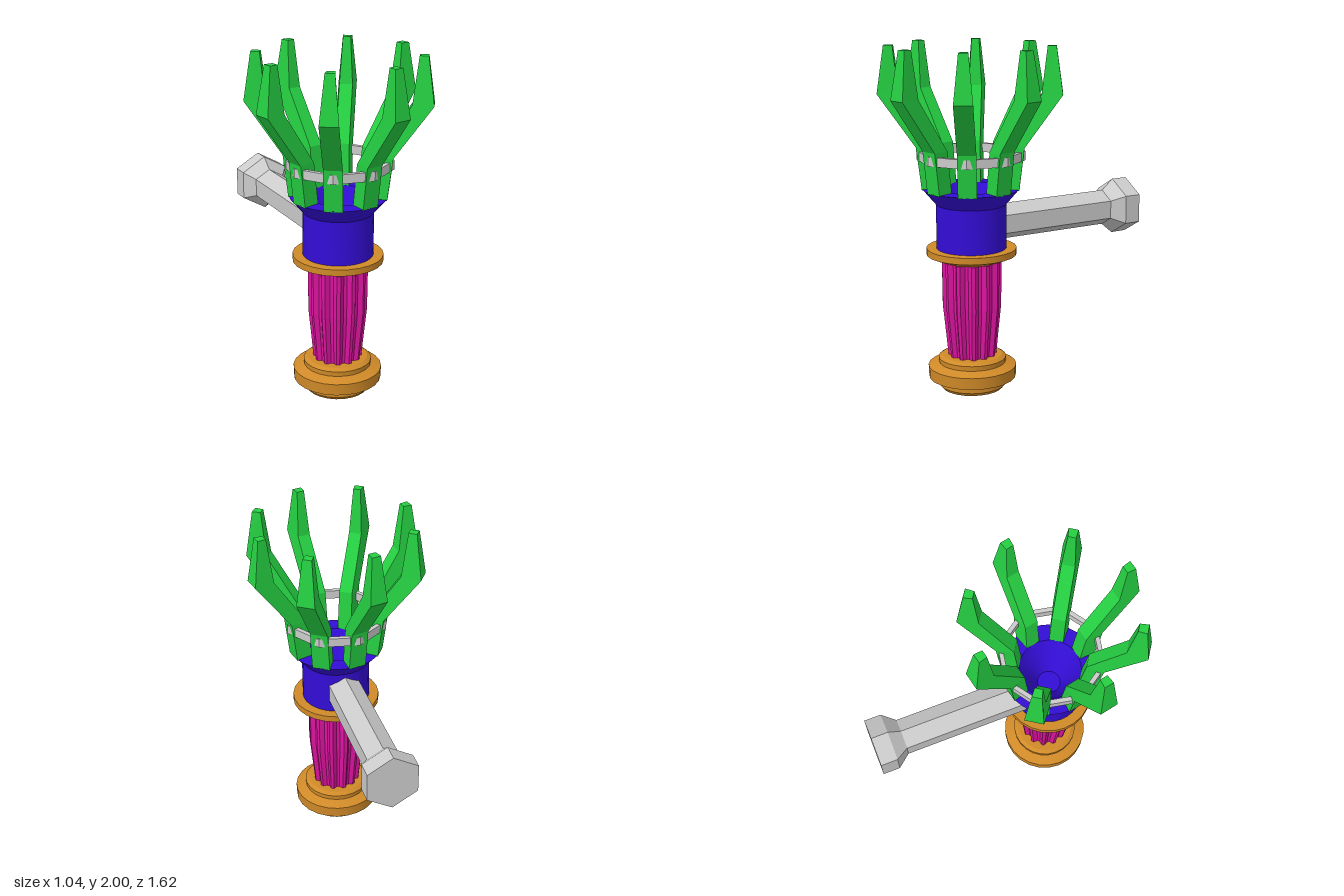
import * as THREE from 'three';
import { toCreasedNormals } from 'three/addons/utils/BufferGeometryUtils.js';

const GREY = 0xcccccc, GOLD = 0xd08a28, PINK = 0xdc149f, BLUE = 0x330dd6, GREEN = 0x25cf42;

const material = (color, flatShading = false) => new THREE.MeshStandardMaterial({ color, flatShading });

function addMesh(parent, name, geometry, mat) {
  const mesh = new THREE.Mesh(geometry, mat);
  mesh.name = name;
  parent.add(mesh);
  return mesh;
}

// Turned profile of [radius, height] pairs, listed from the bottom up
const lathe = (profile, sides) =>
  new THREE.LatheGeometry(profile.map(([r, y]) => new THREE.Vector2(r, y)), sides);

const turned = (profile, sides = 24) => toCreasedNormals(lathe(profile, sides), 0.45);

// Grip: a turned shape whose vertices alternate between ribs and grooves
function flutedGrip() {
  const geometry = lathe([[0.14, 0.19], [0.15, 0.3], [0.17, 0.5], [0.172, 0.765], [0.16, 0.775]], 48);
  const pos = geometry.attributes.position;
  for (let i = 0; i < pos.count; i++) {
    const segment = Math.floor(i / 5) % 4;
    const k = segment < 2 ? 1 : 0.86;
    pos.setXYZ(i, pos.getX(i) * k, pos.getY(i), pos.getZ(i) * k);
  }
  return geometry;
}

// Prong: four-sided sections joined bottom to top, leaning outward along +z
function prongGeometry() {
  // height, inner distance, outer distance, inner half width, outer half width
  const sections = [
    [1.185, 0.178, 0.276, 0.042, 0.053],
    [1.43, 0.205, 0.306, 0.04, 0.053],
    [1.73, 0.4, 0.52, 0.038, 0.053],
    [2.0, 0.432, 0.482, 0.022, 0.027],
  ];
  const vertices = [], index = [];
  for (const [y, inner, outer, wi, wo] of sections)
    vertices.push(-wo, y, outer, wo, y, outer, wi, y, inner, -wi, y, inner);
  for (let s = 0; s < sections.length - 1; s++) {
    for (let i = 0; i < 4; i++) {
      const a = s * 4 + i, b = s * 4 + (i + 1) % 4;
      index.push(a, b, b + 4, a, b + 4, a + 4);
    }
  }
  const t = (sections.length - 1) * 4;
  index.push(0, 2, 1, 0, 3, 2, t, t + 1, t + 2, t, t + 2, t + 3);
  const geometry = new THREE.BufferGeometry();
  geometry.setAttribute('position', new THREE.Float32BufferAttribute(vertices, 3));
  geometry.setIndex(index);
  geometry.computeVertexNormals();
  return geometry;
}

export function createModel() {
  const model = new THREE.Group();
  model.name = 'wallTorch';

  const torch = new THREE.Group();
  torch.name = 'torch';
  torch.position.z = 0.285;
  model.add(torch);

  // Stepped pommel at the foot
  addMesh(torch, 'pommel', turned([
    [0, 0], [0.18, 0], [0.196, 0.02], [0.196, 0.056], [0.255, 0.066], [0.258, 0.135],
    [0.196, 0.156], [0.198, 0.185], [0.175, 0.2], [0, 0.2],
  ]), material(GOLD));

  addMesh(torch, 'grip', flutedGrip(), material(PINK, true));

  addMesh(torch, 'collar', turned([
    [0, 0.77], [0.175, 0.77], [0.26, 0.805], [0.26, 0.843], [0, 0.843],
  ]), material(GOLD));

  // Cup with a flared rim and a hollow bowl
  addMesh(torch, 'cup', turned([
    [0.202, 0.835], [0.202, 1.1], [0.278, 1.19], [0.18, 1.19], [0.067, 0.98], [0, 0.98],
  ], 32), material(BLUE));

  // Eight prongs, with a thin band tying them together
  const step = Math.PI / 4, turn = Math.PI / 16;
  const prong = prongGeometry(), green = material(GREEN, true);
  const prongs = new THREE.Group();
  prongs.name = 'prongs';
  torch.add(prongs);
  for (let i = 0; i < 8; i++)
    addMesh(prongs, 'prong', prong, green).rotation.y = turn + i * step;

  const band = addMesh(torch, 'prongBand', lathe([
    [0.282, 1.353], [0.31, 1.353], [0.31, 1.405], [0.282, 1.405], [0.282, 1.353],
  ], 8), material(GREY, true));
  band.rotation.y = turn;

  // Six-sided arm reaching back to the wall
  const arm = addMesh(model, 'wallArm', lathe([
    [0, -0.17], [0.106, -0.17], [0.106, 0.635], [0.168, 0.71], [0.168, 0.81], [0, 0.81],
  ], 6), material(GREY, true));
  arm.rotation.x = -Math.PI / 2;
  arm.position.y = 0.972;

  return model;
}
